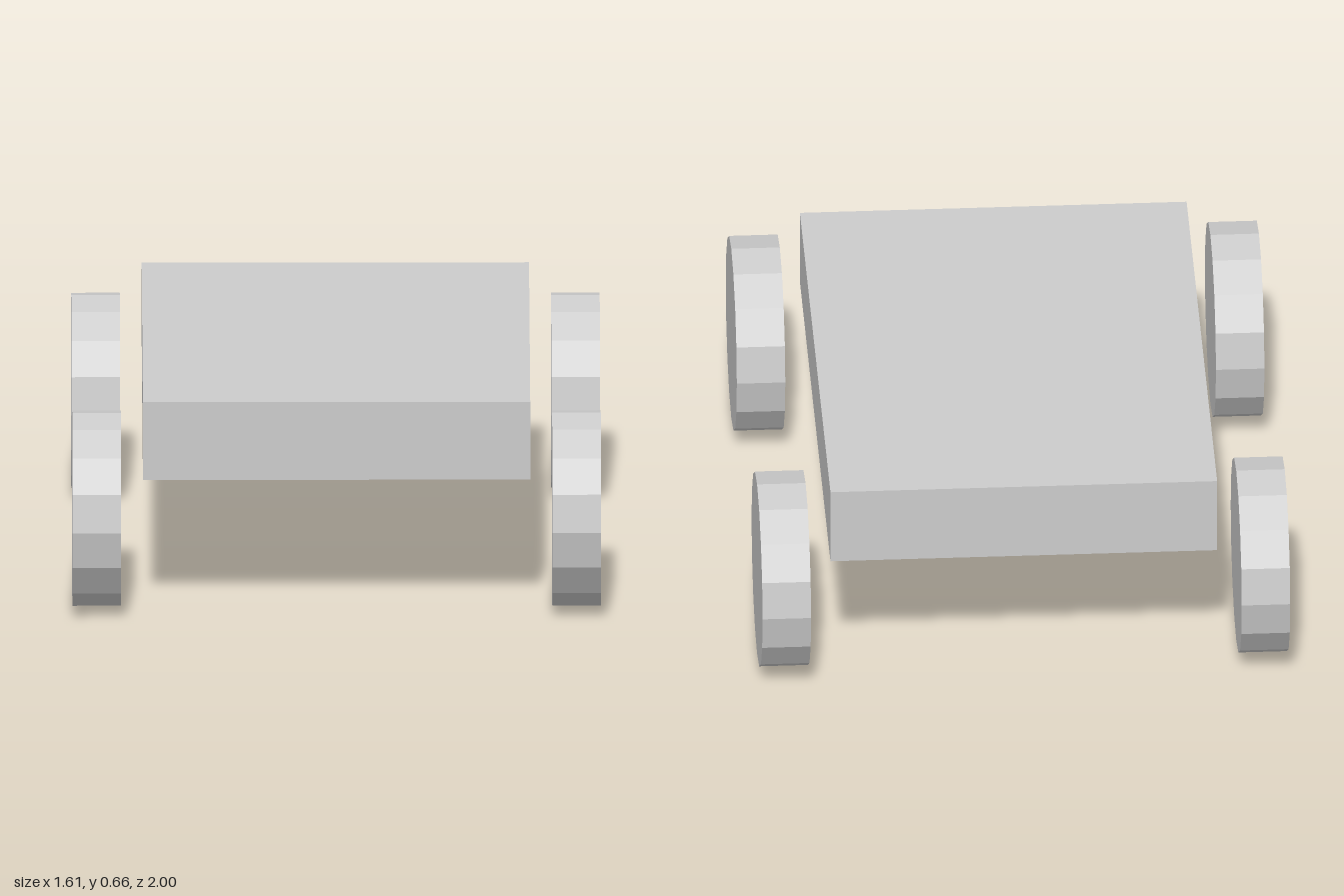
import * as THREE from 'three';

export function createModel() {
  const model = new THREE.Group();
  model.name = 'cart';
  const material = new THREE.MeshStandardMaterial({ color: 0xcccccc, flatShading: true });

  // Flat slab body, set slightly towards the back
  const body = new THREE.Mesh(new THREE.BoxGeometry(1.18, 0.245, 1.66), material);
  body.name = 'body';
  body.position.set(0, 0.538, -0.03);
  model.add(body);

  // Four sixteen-sided wheels with their axles along x
  const wheelGeometry = new THREE.CylinderGeometry(0.3, 0.3, 0.148, 16).rotateZ(Math.PI / 2);
  for (const [end, z] of [['front', 0.7], ['back', -0.7]]) {
    for (const [side, x] of [['Left', 0.731], ['Right', -0.731]]) {
      const wheel = new THREE.Mesh(wheelGeometry, material);
      wheel.name = `${end}${side}Wheel`;
      wheel.position.set(x, 0.3, z);
      model.add(wheel);
    }
  }

  return model;
}
